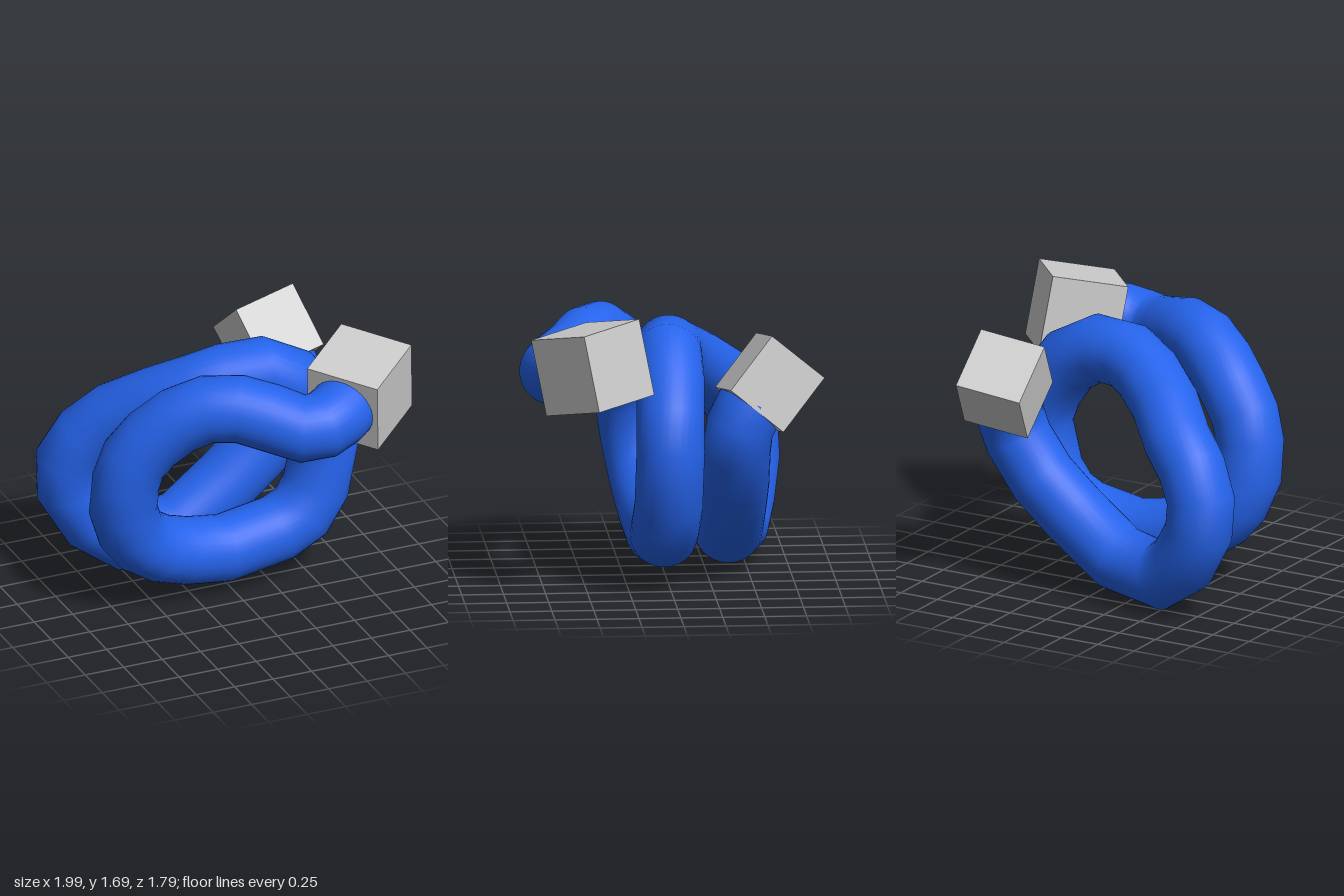
import * as THREE from 'three';

// Centre line of the coiled tube, from the front block to the back block
const PATH = [
  [0.56, 1.39, 0.56], [0.43, 1.36, 0.655], [0.32, 1.33, 0.69], [0.2, 1.32, 0.67],
  [0.04, 1.37, 0.55], [-0.12, 1.42, 0.46], [-0.29, 1.41, 0.37], [-0.44, 1.33, 0.29],
  [-0.58, 1.2, 0.22], [-0.68, 1.07, 0.18], [-0.725, 0.92, 0.16], [-0.73, 0.72, 0.13],
  [-0.67, 0.56, 0.1], [-0.59, 0.46, 0.08], [-0.46, 0.37, 0.06], [-0.28, 0.31, 0.045],
  [-0.03, 0.27, 0.03], [0.32, 0.33, 0.03], [0.47, 0.41, 0.03], [0.57, 0.56, 0.02],
  [0.64, 0.88, 0.015], [0.57, 1.08, 0.01], [0.42, 1.28, 0], [0.22, 1.39, 0],
  [0, 1.38, -0.02], [-0.17, 1.31, -0.09], [-0.37, 1.2, -0.23], [-0.55, 1.06, -0.4],
  [-0.7, 0.92, -0.48], [-0.79, 0.75, -0.53], [-0.78, 0.56, -0.54], [-0.65, 0.34, -0.5],
  [-0.47, 0.21, -0.45], [-0.14, 0.25, -0.39], [0.17, 0.48, -0.39], [0.38, 0.66, -0.39],
  [0.55, 0.88, -0.385], [0.6, 1.03, -0.4], [0.57, 1.16, -0.47],
].map((p) => new THREE.Vector3(...p));

// Cube turned so that its local x and y axes follow the given directions
function block(name, size, centre, xAxis, yAxis) {
  const x = new THREE.Vector3(...xAxis).normalize();
  const z = x.clone().cross(new THREE.Vector3(...yAxis)).normalize();
  const y = z.clone().cross(x);
  const mesh = new THREE.Mesh(
    new THREE.BoxGeometry(size, size, size),
    new THREE.MeshStandardMaterial({ color: 0xcccccc })
  );
  mesh.name = name;
  mesh.quaternion.setFromRotationMatrix(new THREE.Matrix4().makeBasis(x, y, z));
  mesh.position.set(...centre);
  return mesh;
}

export function createModel() {
  const model = new THREE.Group();
  model.name = 'coiledTubeWithBlocks';

  // Tube: one ring per path point, smooth around its section
  const curve = new THREE.CatmullRomCurve3(PATH, false, 'centripetal');
  curve.getPointAt = curve.getPoint;
  curve.getTangentAt = curve.getTangent;
  const tube = new THREE.Mesh(
    new THREE.TubeGeometry(curve, PATH.length - 1, 0.204, 32, false),
    new THREE.MeshStandardMaterial({ color: 0x2563eb, side: THREE.DoubleSide })
  );
  tube.name = 'coiledTube';
  model.add(tube);

  // Blocks closing both ends of the tube
  model.add(
    block('frontBlock', 0.463, [0.653, 1.415, 0.48], [0.35, 0.09, -0.29], [-0.035, 0.455, 0.08]),
    block('backBlock', 0.408, [0.531, 1.281, -0.585], [0.397, 0.063, -0.064], [0.006, 0.26, 0.315])
  );
  return model;
}
